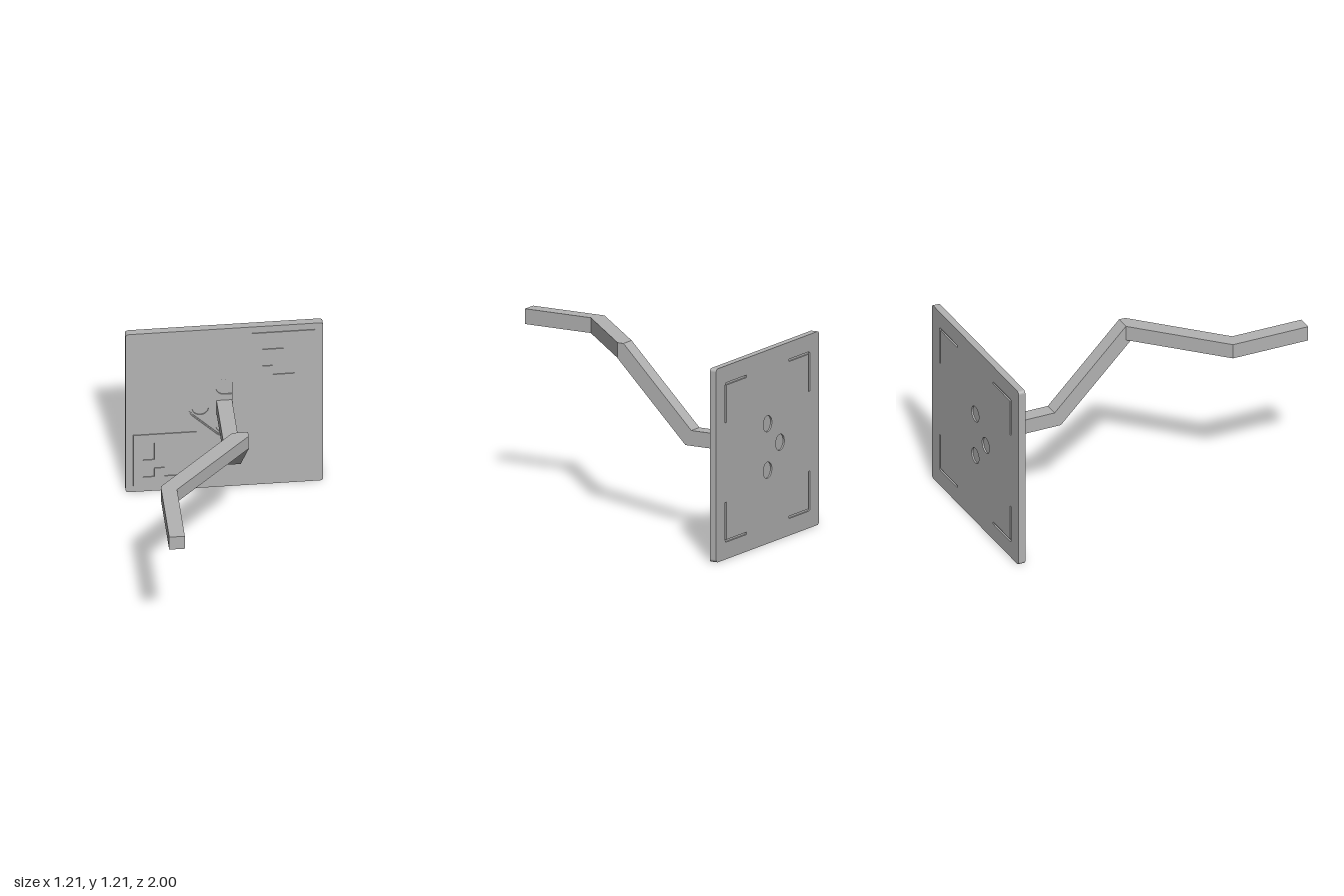
import * as THREE from 'three';

const CY = 0.61; // height of the plate centre
const HALF = 0.607;
const ARM = 0.048; // half thickness of the bar

const poly = (pts) => new THREE.Shape(pts.map(([x, y]) => new THREE.Vector2(x, y)));
const rect = (x0, y0, x1, y1) => poly([[x0, y0], [x1, y0], [x1, y1], [x0, y1]]);

function roundedSquare() {
  const s = new THREE.Shape(), r = 0.02, c = HALF - r;
  [[c, c], [-c, c], [-c, -c], [c, -c]].forEach(([x, y], i) =>
    s.absarc(x, CY + y, r, i * Math.PI / 2, (i + 1) * Math.PI / 2, false));
  s.closePath();
  return s;
}

// Rounded triangle around the three screw points, cut straight beside the bar
function triangle(r) {
  const s = new THREE.Shape(), a = Math.acos(ARM / r), q = Math.PI / 4;
  s.absarc(0, CY + 0.146, r, a, 3 * q, false);
  s.absarc(-0.147, CY, r, 3 * q, 5 * q, false);
  s.absarc(0, CY - 0.146, r, 5 * q, 2 * Math.PI - a, false);
  s.closePath();
  return s;
}

function circle(x, y, r) {
  const s = new THREE.Shape();
  s.absarc(x, y, r, 0, Math.PI * 2, false);
  return s;
}

// Screw pocket with one side squared off against the bar
function slot(side) {
  const s = new THREE.Shape(), r = 0.051, y = CY + side * 0.146, a = Math.acos(ARM / r);
  s.moveTo(ARM, y - side * r);
  s.lineTo(0, y - side * r);
  s.absarc(0, y, r, -side * Math.PI / 2, side * a, side > 0);
  s.closePath();
  return s;
}

// Corner groove on the back, mirrored by sx and sy
function cornerMark(sx, sy) {
  const o = 0.5, i = 0.485, e = 0.25, k = 0.012;
  return poly([[e, o], [o - k, o], [o - k * 0.3, o - k * 0.3], [o, o - k], [o, e], [i, e], [i, i], [e, i]]
    .map(([x, y]) => [sx * x, CY + sy * y]));
}

export function createModel() {
  const model = new THREE.Group();
  const grey = new THREE.MeshStandardMaterial({ color: 0xb3b3b3 });
  grey.name = 'plain grey';

  const add = (name, geometry, parent = model) => {
    const mesh = new THREE.Mesh(geometry, grey);
    mesh.name = name;
    parent.add(mesh);
    return mesh;
  };
  const extrude = (shape, depth) =>
    new THREE.ExtrudeGeometry(shape, { depth, bevelEnabled: false, curveSegments: 16 });

  // Backplate, stacked in layers so that the pockets have real depth
  const plate = new THREE.Group();
  plate.name = 'backplate';
  model.add(plate);
  const layer = (name, z0, z1, holes, outline = roundedSquare()) => {
    outline.holes.push(...holes);
    add(name, extrude(outline, z1 - z0).translate(0, 0, z0), plate);
  };
  const screws = [[0, 0.146], [0, -0.146], [-0.147, 0]];
  const marks = [[1, 1], [-1, 1], [-1, -1], [1, -1]].map(([x, y]) => cornerMark(x, y));
  layer('backFace', -1, -0.99, [...marks, ...screws.map(([x, y]) => circle(x, CY + y, 0.051))]);
  layer('plateCore', -0.99, -0.972, []);
  layer('screwPockets', -0.972, -0.965, [circle(-0.147, CY, 0.051), slot(1), slot(-1)]);
  layer('innerRecess', -0.965, -0.96, [triangle(0.064)]);
  layer('outerRecess', -0.96, -0.955, [triangle(0.071)]);

  // Thin raised pads with cut-out patterns
  layer('upperPad', -0.955, -0.95, [
    poly([[0.235, 1.11], [0.43, 1.11], [0.43, 0.845], [0.297, 0.845],
      [0.297, 0.913], [0.362, 0.913], [0.362, 1.042], [0.235, 1.042]]),
    rect(0.235, 0.914, 0.296, 0.979),
  ], rect(0.17, 0.783, 0.558, 1.17));
  layer('lowerPad', -0.955, -0.95, [
    rect(-0.499, 0.246, -0.431, 0.375),
    poly([[-0.43, 0.245], [-0.235, 0.245], [-0.235, 0.115], [-0.367, 0.115], [-0.367, 0.18], [-0.43, 0.18]]),
    rect(-0.499, 0.115, -0.431, 0.179),
  ], rect(-0.56, 0.052, -0.172, 0.44));

  // Rising half of the bar: side profile given as (z, y)
  const rising = extrude(poly([
    [-0.972, 0.564], [-0.442, 0.564], [0.044, 1.052], [0, 1.052], [0, 1.148], [-0.484, 0.66], [-0.972, 0.66],
  ]), 2 * ARM);
  add('risingArm', rising.rotateY(-Math.PI / 2).translate(ARM, 0, 0));

  // Level half of the bar: plan profile given as (x, z)
  const level = extrude(poly([
    [-ARM, 0], [ARM, 0], [ARM, 0.042], [-0.442, 0.53], [-0.442, 1], [-0.538, 1], [-0.538, 0.49],
  ].map(([x, z]) => [x, -z])), 2 * ARM);
  add('levelArm', level.rotateX(-Math.PI / 2).translate(0, 1.052, 0));

  return model;
}
